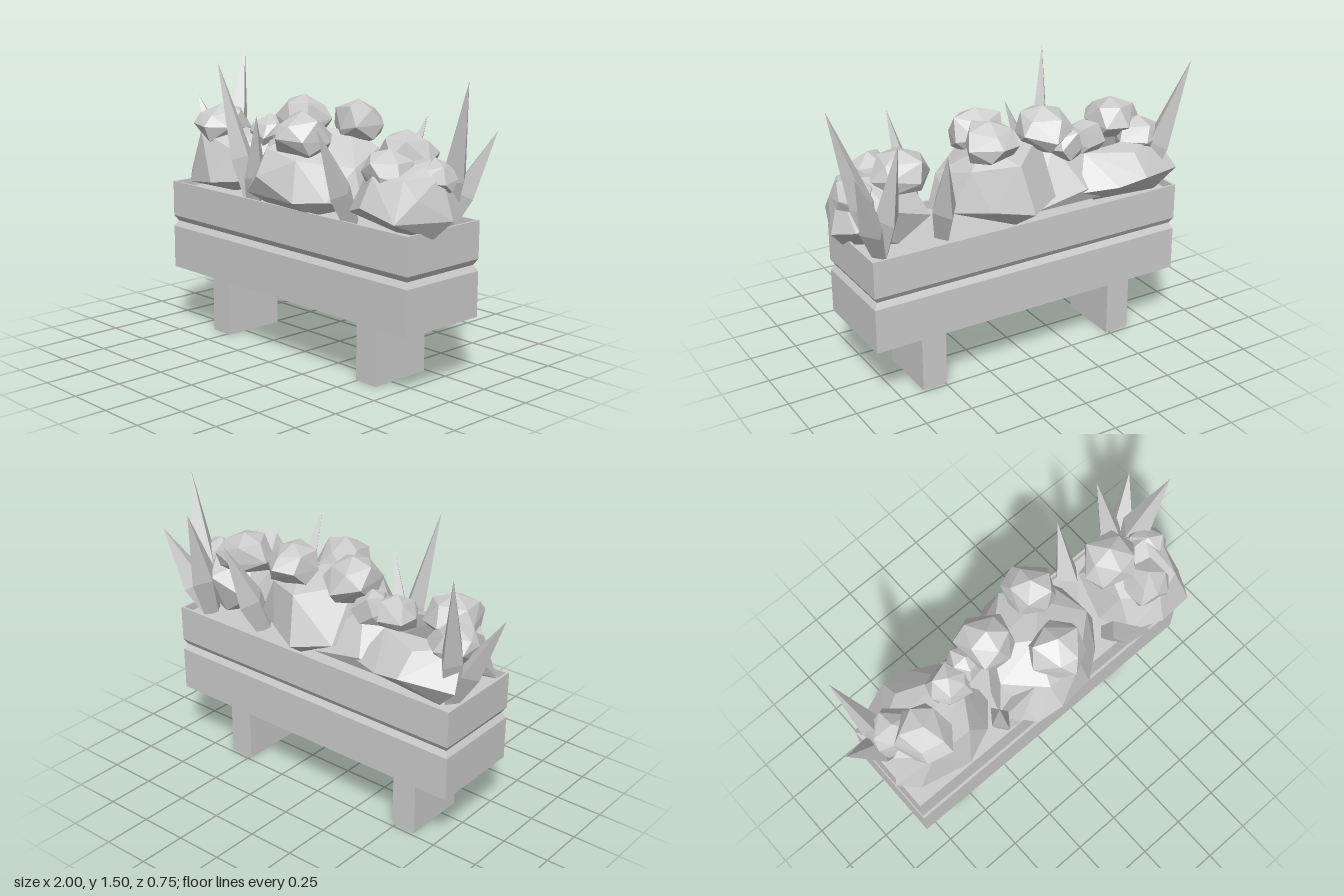
import * as THREE from 'three';
import { ConvexGeometry } from 'three/addons/geometries/ConvexGeometry.js';

const V = (x, y, z) => new THREE.Vector3(x, y, z);

export function createModel() {
  const group = new THREE.Group();
  const mat = new THREE.MeshStandardMaterial({ color: 0xcccccc, flatShading: true, side: THREE.DoubleSide });
  const add = (name, geo, parent = group) => {
    const m = new THREE.Mesh(geo, mat);
    m.name = name;
    parent.add(m);
    return m;
  };
  let seed = 7;
  const rand = () => (seed = (seed * 16807) % 2147483647) / 2147483647;

  // Trough: rectangular cross-sections [y, inset] with a V groove, down to soil inside
  const rings = [[0.33, 0], [0.56, 0], [0.59, 0.018], [0.62, 0], [0.81, 0], [0.81, 0.012], [0.77, 0.012]];
  const pos = [], idx = [];
  for (const [y, i] of rings) {
    pos.push(-0.845 + i, y, 0.198 - i, 0.9 - i, y, 0.198 - i, 0.9 - i, y, -0.3 + i, -0.845 + i, y, -0.3 + i);
  }
  for (let r = 0; r < rings.length - 1; r++) {
    for (let k = 0; k < 4; k++) {
      const a = r * 4 + k, b = r * 4 + (k + 1) % 4;
      idx.push(a, b, b + 4, a, b + 4, a + 4);
    }
  }
  const t = (rings.length - 1) * 4;
  idx.push(0, 2, 1, 0, 3, 2, t, t + 1, t + 2, t, t + 2, t + 3);
  const trough = new THREE.BufferGeometry();
  trough.setAttribute('position', new THREE.Float32BufferAttribute(pos, 3));
  trough.setIndex(idx);
  trough.computeVertexNormals();
  add('planterBox', trough);

  // Two wide feet
  for (const x of [-0.55, 0.558]) {
    add('foot', new THREE.BoxGeometry(0.134, 0.33, 0.345)).position.set(x, 0.165, -0.06);
  }

  // Faceted bushes, each spanned by a handful of corner points
  const bushes = {
    leftBush: [
      [-0.87, 0.85, 0.05], [-0.78, 0.81, 0.13], [-0.52, 0.85, 0.2], [-0.35, 0.87, 0.13], [-0.22, 0.85, -0.02],
      [-0.82, 1.08, 0.0], [-0.68, 1.1, 0.13], [-0.45, 1.03, 0.12], [-0.62, 1.13, -0.06], [-0.34, 1.09, -0.06],
      [-0.5, 0.79, 0.05]],
    leftBackBush: [
      [-0.86, 0.9, -0.28], [-0.6, 0.93, -0.375], [-0.45, 0.9, -0.35], [-0.27, 0.88, -0.27], [-0.6, 1.03, -0.26],
      [-0.8, 1.06, -0.14], [-0.36, 1.04, -0.16], [-0.75, 0.79, -0.24], [-0.4, 0.79, -0.2], [-0.55, 0.8, 0.02]],
    middleBush: [
      [-0.26, 0.88, 0.12], [-0.14, 0.87, 0.27], [-0.02, 0.97, 0.31], [0.2, 0.86, 0.27], [0.33, 0.87, 0.17],
      [0.44, 0.85, 0.03], [-0.2, 1.1, 0.06], [-0.03, 1.1, 0.23], [0.17, 1.06, 0.22], [0.39, 1.03, 0.03],
      [0.05, 1.2, 0.03], [0.2, 1.18, -0.12], [-0.12, 1.17, -0.1], [0.32, 1.1, -0.2], [0.06, 0.88, -0.375],
      [0.1, 1.12, -0.3], [0.25, 0.9, -0.28], [0.42, 0.9, -0.18], [-0.12, 0.9, -0.27], [0.23, 0.79, 0.17],
      [-0.1, 0.81, 0.18], [0.1, 0.79, -0.25]],
    rightBush: [
      [0.47, 0.84, 0.05], [0.53, 0.87, 0.21], [0.68, 0.92, 0.29], [0.88, 0.87, 0.27], [0.91, 0.97, 0.15],
      [0.98, 0.86, -0.02], [0.91, 0.9, -0.15], [0.55, 1.06, 0.1], [0.7, 1.06, 0.23], [0.85, 1.06, 0.18],
      [0.92, 1.07, 0.0], [0.84, 1.13, -0.04], [0.6, 1.1, -0.05], [0.53, 0.92, -0.18], [0.75, 1.0, -0.22],
      [0.55, 0.81, 0.08], [0.8, 0.81, 0.17], [0.905, 0.77, 0.03], [0.7, 0.8, -0.16]],
    lowBush: [
      [-0.5, 0.82, -0.24], [-0.3, 0.9, -0.28], [0, 0.84, -0.27], [-0.45, 1.0, -0.1], [-0.2, 1.1, -0.12],
      [0, 1.0, -0.05], [-0.38, 0.82, 0.02], [-0.1, 0.82, 0.05]],
  };
  for (const [name, pts] of Object.entries(bushes)) {
    add(name, new ConvexGeometry(pts.map((p) => V(...p))));
  }

  // Irregular faceted blossoms: [x, y, z, radius, height radius]
  const blossoms = [
    [-0.64, 1.12, 0.02, 0.15, 0.12], [-0.73, 1.05, -0.11, 0.13, 0.11], [-0.39, 1.1, -0.1, 0.11, 0.1],
    [-0.26, 1.1, -0.13, 0.1, 0.1], [-0.13, 1.2, -0.12, 0.15, 0.13], [0.2, 1.21, -0.18, 0.14, 0.12],
    [0.11, 1.15, 0.12, 0.15, 0.14], [0.63, 1.12, -0.08, 0.15, 0.12], [0.71, 1.06, 0.12, 0.13, 0.12],
    [0.85, 1.04, -0.03, 0.12, 0.1],
  ];
  for (const [x, y, z, r, h] of blossoms) {
    const turn = rand() * 6;
    const pts = [V(0, 1, 0), V(0, -0.9, 0)];
    // Staggered rings of uneven points around a top and a bottom point
    for (const [ringY, count] of [[0.65, 5], [0, 6], [-0.6, 4]]) {
      const ringR = Math.sqrt(1 - ringY * ringY);
      for (let k = 0; k < count; k++) {
        const a = turn + ringY + ((k + rand() * 0.5) / count) * Math.PI * 2;
        const s = 0.9 + rand() * 0.2;
        pts.push(V(Math.cos(a) * ringR * s, ringY + (rand() - 0.5) * 0.35, Math.sin(a) * ringR * s));
      }
    }
    const m = add('blossom', new ConvexGeometry(pts));
    m.position.set(x, y, z);
    m.scale.set(r, h, r);
  }

  // Pointed blades growing in tufts: [base, width, tips]
  const tufts = [
    [[-0.75, 0.78, -0.14], 0.08, [[-0.87, 1.5, -0.34], [-1, 1.25, -0.1]]],
    [[-0.26, 0.76, 0.12], 0.07, [[-0.37, 1.5, 0.26], [-0.12, 1.25, 0.22]]],
    [[0.46, 0.78, 0.12], 0.07, [[0.48, 1.27, 0.37]]],
    [[0.45, 0.78, -0.14], 0.085, [[0.52, 1.27, -0.34]]],
    [[0.8, 0.78, -0.17], 0.085, [[1, 1.5, -0.08], [0.98, 1.25, -0.32], [0.77, 1.38, -0.34]]],
  ];
  const profile = [[0.7, 0], [1, 0.35], [0, 1]].map(([r, y]) => new THREE.Vector2(r, y));
  for (const [base, w, tips] of tufts) {
    const tuft = new THREE.Group();
    tuft.name = 'grassTuft';
    group.add(tuft);
    for (const tip of tips) {
      const dir = V(...tip).sub(V(...base));
      const m = add('blade', new THREE.LatheGeometry(profile, 4), tuft);
      m.position.set(...base);
      m.scale.set(w * 0.75, dir.length(), w);
      m.quaternion.setFromUnitVectors(V(0, 1, 0), dir.normalize());
    }
  }
  return group;
}
